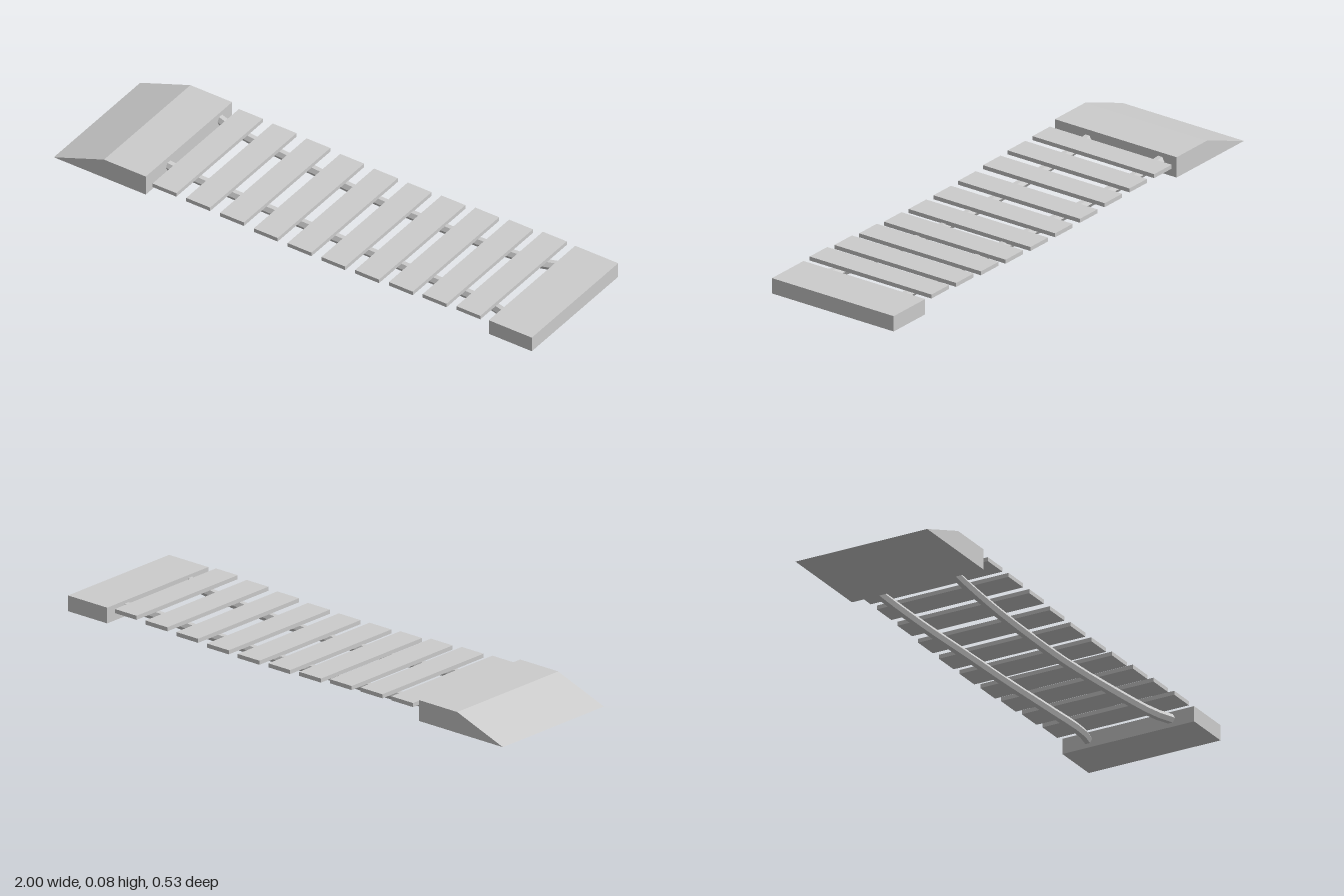
import * as THREE from 'three';

const material = new THREE.MeshStandardMaterial({ color: 0xcccccc, flatShading: true });
const WIDTH = 0.527;
const BASE = 0.008;

function add(group, name, geometry) {
  const mesh = new THREE.Mesh(geometry, material);
  mesh.name = name;
  group.add(mesh);
  return mesh;
}

// Block whose side outline is given in x, y and which spans the full width in z
function profileBlock(points) {
  const shape = new THREE.Shape(points.map(([x, y]) => new THREE.Vector2(x, y)));
  const geometry = new THREE.ExtrudeGeometry(shape, { depth: WIDTH, bevelEnabled: false });
  return geometry.translate(0, 0, -WIDTH / 2);
}

// Six-sided rope through a few points
function rope(points) {
  const curve = new THREE.CatmullRomCurve3(points.map(p => new THREE.Vector3(...p)));
  return new THREE.TubeGeometry(curve, 20, 0.018, 6, false);
}

export function createModel() {
  const group = new THREE.Group();

  // End pieces: sloped ramp on one side, flat landing on the other
  add(group, 'ramp', profileBlock([[-1, BASE], [-0.615, BASE], [-0.615, 0.085], [-0.79, 0.085]]));
  add(group, 'landing', profileBlock([[0.82, BASE], [1, BASE], [1, 0.066], [0.82, 0.066]]));

  // Planks following the sag of the bridge
  const plankTops = [0.067, 0.064, 0.059, 0.051, 0.047, 0.046, 0.049, 0.056, 0.063, 0.07];
  const thickness = 0.015;
  plankTops.forEach((top, i) => {
    const plank = add(group, 'plank' + (i + 1), new THREE.BoxGeometry(0.1, thickness, WIDTH));
    plank.position.set(-0.537 + i * 0.1413, top - thickness / 2, 0);
  });

  // Sagging ropes under the planks
  add(group, 'backRope', rope([
    [-0.63, 0.056, -0.194], [-0.54, 0.04, -0.183], [-0.3, 0.026, -0.17], [0, 0.019, -0.153],
    [0.2, 0.018, -0.147], [0.5, 0.025, -0.141], [0.74, 0.035, -0.144], [0.83, 0.04, -0.165],
  ]));
  add(group, 'frontRope', rope([
    [-0.63, 0.05, 0.123], [-0.54, 0.039, 0.12], [-0.3, 0.026, 0.112], [0, 0.019, 0.11],
    [0.2, 0.018, 0.113], [0.5, 0.025, 0.128], [0.74, 0.035, 0.147], [0.83, 0.04, 0.172],
  ]));

  return group;
}
